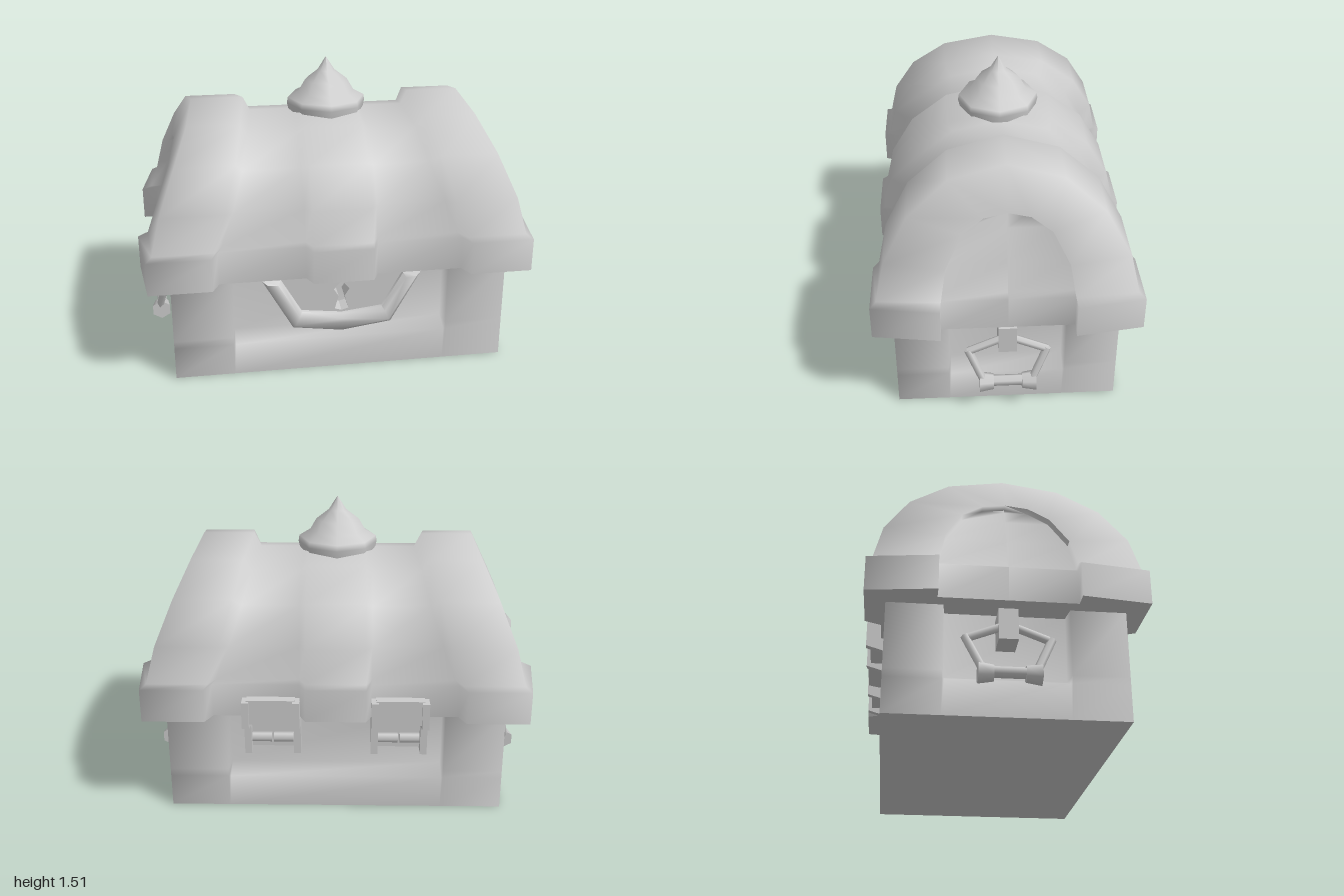
import * as THREE from 'three';
import { toCreasedNormals } from 'three/addons/utils/BufferGeometryUtils.js';

const mat = new THREE.MeshStandardMaterial({ color: 0xcccccc, side: THREE.DoubleSide });

function add(parent, name, geo, x = 0, y = 0, z = 0) {
  const m = new THREE.Mesh(geo, mat);
  m.name = name;
  m.position.set(x, y, z);
  parent.add(m);
  return m;
}

// Smooth skin through columns of points; each column is a list of [x, y, z]
function skin(cols, closed = false) {
  const n = cols[0].length, idx = [];
  for (let i = 0; i < cols.length - (closed ? 0 : 1); i++) {
    const a = i * n, b = ((i + 1) % cols.length) * n;
    for (let j = 0; j < n - 1; j++) idx.push(a + j, b + j, b + j + 1, a + j, b + j + 1, a + j + 1);
  }
  const g = new THREE.BufferGeometry();
  g.setAttribute('position', new THREE.Float32BufferAttribute(cols.flat(2), 3));
  g.setIndex(idx);
  g.computeVertexNormals();
  return g;
}

function polyShape(pts) {
  return new THREE.Shape(pts.map(p => new THREE.Vector2(p[0], p[1])));
}

// Straight round bar between two points
function bar(parent, name, a, b, r) {
  const A = new THREE.Vector3(...a), B = new THREE.Vector3(...b), d = B.clone().sub(A);
  const m = add(parent, name, new THREE.CylinderGeometry(r, r, d.length(), 6));
  m.position.copy(A).add(B).multiplyScalar(0.5);
  m.quaternion.setFromUnitVectors(new THREE.Vector3(0, 1, 0), d.normalize());
}

// Chest base: corner posts with a recessed panel on every side
function makeBody(root) {
  const half = d => [
    [-0.85, 0.55], [-0.55, 0.55], [-0.54, 0.55 - d], [0.54, 0.55 - d], [0.55, 0.55],
    [0.85, 0.55], [0.85, 0.29], [0.85 - d, 0.28], [0.85 - d, -0.28], [0.85, -0.29]];
  const ring = (y, d) => {
    const h = half(d);
    return [...h, ...h.map(p => [-p[0], -p[1]])].map(p => [p[0], y, p[1]]);
  };
  const rings = [ring(0, 0), ring(0.17, 0), ring(0.21, 0.09), ring(0.53, 0.09)];
  add(root, 'body', skin(rings[0].map((_, i) => rings.map(r => r[i])), true));
  add(root, 'bodyBottom', new THREE.PlaneGeometry(1.7, 1.1).rotateX(Math.PI / 2));
}

// Domed lid with a middle band, two leaning end bands and recessed end panels
function makeLid(root) {
  const band = [[0.645, 0.53], [0.645, 0.7], [0.615, 0.72], [0.575, 0.9], [0.46, 1.1], [0.27, 1.25], [0, 1.31]];
  const arch = [[0.32, 0.53], [0.32, 0.7], [0.315, 0.72], [0.29, 0.87], [0.21, 1.02], [0.11, 1.09], [0, 1.11]];
  const inner = [0.61, 0.61, 0.59, 0.53, 0.47, 0.43, 0.4];
  const outer = [0.955, 0.955, 0.925, 0.88, 0.8, 0.73, 0.7];
  const archX = [1, 1, 0.95, 0.895, 0.835, 0.81, 0.8];
  const panelX = [0.92, 0.92, 0.89, 0.85, 0.79, 0.765, 0.755];
  const sink = (p, kz, top) => [p[0] * kz, p[1] <= 0.7 ? p[1] : 0.7 + (p[1] - 0.7) * (top - 0.7) / 0.61];
  // A column mirrors its front half over the ridge to the back
  const column = (prof, xs) => {
    const f = prof.map((p, i) => [Array.isArray(xs) ? xs[i] : xs, p[1], p[0]]);
    return [...f, ...f.slice(0, -1).reverse().map(p => [p[0], p[1], -p[2]])];
  };
  const mid = band.map(p => sink(p, 0.985, 1.275)), low = band.map(p => sink(p, 0.885, 1.24));
  const right = [
    column(mid, 0.15), column(low, 0.18),
    column(low, inner), column(band, inner.map(x => x + 0.035)),
    column(band, outer), column(arch, archX),
    column(arch, panelX), column(arch.map(p => [0, p[1]]), panelX)];
  const left = right.map(c => c.map(p => [-p[0], p[1], p[2]])).reverse();
  add(root, 'lid', skin([...left, ...right]));

  // Underside following the rim outline
  const q = [[0.15, 0.635], [0.18, 0.57], [0.61, 0.57], [0.645, 0.645], [0.955, 0.645], [1, 0.32], [0.92, 0.32]];
  const h = [...q, ...q.map(p => [p[0], -p[1]]).reverse()];
  const outline = [...h, ...h.map(p => [-p[0], -p[1]])];
  add(root, 'lidUnderside', new THREE.ShapeGeometry(polyShape(outline)).rotateX(Math.PI / 2), 0, 0.53, 0);

  // Eight-sided pointed knob on the ridge
  const prof = [[0.19, 1.2], [0.205, 1.27], [0.2, 1.3], [0.145, 1.33], [0.11, 1.39], [0.045, 1.44], [0, 1.51]];
  add(root, 'finial', new THREE.LatheGeometry(prof.map(p => new THREE.Vector2(...p)), 8));
}

// Lock plate with keyhole and a raised frame
function makeLock(root) {
  const lock = new THREE.Group();
  lock.name = 'lock';
  const out = [[-0.4, 0.53], [-0.25, 0.26], [0, 0.225], [0.25, 0.26], [0.4, 0.53]];
  const inn = [[0.31, 0.53], [0.205, 0.345], [0, 0.32], [-0.205, 0.345], [-0.31, 0.53]];
  const key = [[-0.035, 0.34], [0, 0.33], [0.035, 0.34], [0.015, 0.41], [0.04, 0.45], [0, 0.495], [-0.04, 0.45], [-0.015, 0.41]];
  const plate = polyShape([[-0.34, 0.53], [-0.22, 0.3], [0, 0.27], [0.22, 0.3], [0.34, 0.53]]);
  plate.holes.push(polyShape(key));
  add(lock, 'lockPlate', new THREE.ExtrudeGeometry(plate, { depth: 0.1, bevelEnabled: false }), 0, 0, 0.455);
  const frame = new THREE.ExtrudeGeometry(polyShape([...out, ...inn]), {
    depth: 0.12, bevelThickness: 0.02, bevelSize: 0.02, bevelOffset: -0.02, bevelSegments: 1 });
  add(lock, 'lockFrame', toCreasedNormals(frame, 1), 0, 0, 0.455);
  root.add(lock);
}

// Drop handle hanging from a bracket on one end
function makeHandle(name, turn) {
  const g = new THREE.Group();
  g.name = name;
  add(g, 'handleBracket', new THREE.BoxGeometry(0.14, 0.15, 0.09), 0.83, 0.425, 0);
  for (const s of [1, -1]) {
    bar(g, 'handleUpperBar', [0.875, 0.43, 0], [0.885, 0.35, s * 0.195], 0.02);
    bar(g, 'handleSideBar', [0.885, 0.36, s * 0.195], [0.93, 0.18, s * 0.115], 0.02);
    add(g, 'handleCuff', new THREE.CylinderGeometry(0.052, 0.04, 0.07, 6).rotateX(s * Math.PI / 2), 0.92, 0.175, s * 0.105);
  }
  bar(g, 'handleGrip', [0.92, 0.18, -0.1], [0.92, 0.18, 0.1], 0.028);
  g.rotation.y = turn;
  return g;
}

// Hinge with a strap on the lid rim, two bent arms and a pin
function makeHinge(x) {
  const g = new THREE.Group();
  g.name = 'hinge';
  add(g, 'hingeStrap', new THREE.BoxGeometry(0.24, 0.13, 0.06), 0, 0.57, -0.59);
  add(g, 'hingePlate', new THREE.BoxGeometry(0.22, 0.2, 0.04), 0, 0.42, -0.475);
  const side = polyShape([[0.64, 0.63], [0.64, 0.49], [0.54, 0.46], [0.54, 0.3], [0.46, 0.3], [0.46, 0.53], [0.57, 0.55], [0.57, 0.63]]);
  for (const s of [-1, 1]) {
    const arm = new THREE.ExtrudeGeometry(side, { depth: 0.035, bevelEnabled: false });
    add(g, 'hingeArm', arm.translate(0, 0, -0.0175).rotateY(Math.PI / 2), s * 0.125, 0, 0);
    add(g, 'hingePin', new THREE.CylinderGeometry(0.025, 0.025, 0.1, 6).rotateZ(Math.PI / 2), s * 0.055, 0.38, -0.51);
  }
  g.position.x = x;
  return g;
}

export function createModel() {
  const root = new THREE.Group();
  root.name = 'chest';
  makeBody(root);
  makeLid(root);
  makeLock(root);
  root.add(makeHandle('leftHandle', 0), makeHandle('rightHandle', Math.PI));
  root.add(makeHinge(0.32), makeHinge(-0.32));
  // Arms face the back
  return root;
}
